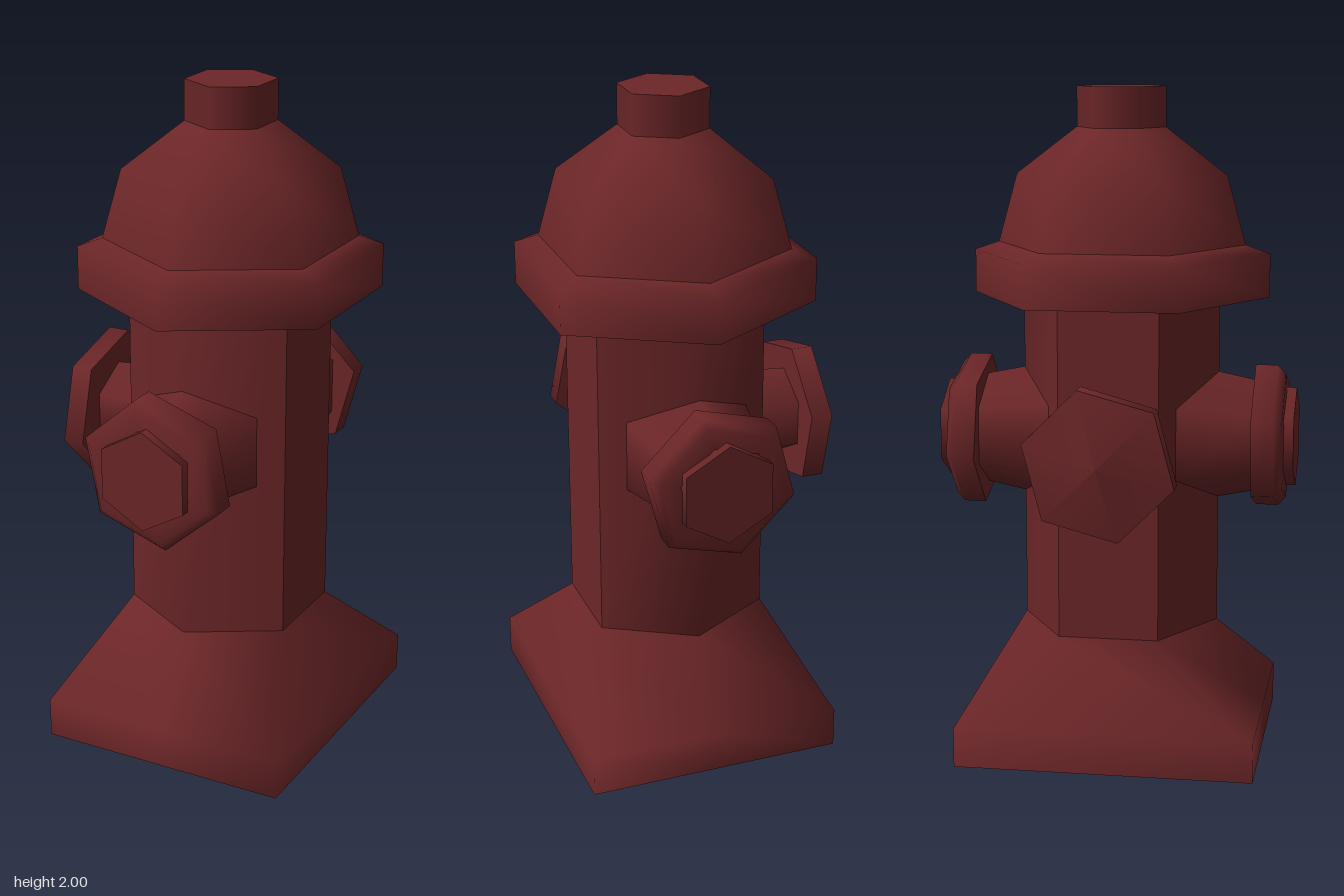
import * as THREE from 'three';
import { mergeVertices } from 'three/addons/utils/BufferGeometryUtils.js';

const paint = new THREE.MeshStandardMaterial({ color: 0x6c2628, side: THREE.DoubleSide });
paint.name = 'dark red paint';

// Six-sided turned shape from [radius, height] pairs, with a corner facing +z
const turned = (profile) =>
  new THREE.LatheGeometry(profile.map(([r, y]) => new THREE.Vector2(r, y)), 6);

function add(parent, name, geometry) {
  const mesh = new THREE.Mesh(geometry, paint);
  mesh.name = name;
  parent.add(mesh);
  return mesh;
}

// Lower rings are squared off into a rectangular foot, the top ring stays hexagonal
function baseGeometry() {
  let g = turned([[0.447, 0], [0.447, 0.12], [0.298, 0.38]]);
  const p = g.attributes.position;
  for (let i = 0; i < p.count; i++) {
    if (p.getY(i) < 0.2) p.setZ(i, Math.sign(p.getZ(i)) * 0.447);
  }
  g.deleteAttribute('uv');
  g.deleteAttribute('normal');
  g = mergeVertices(g, 1e-4);
  g.computeVertexNormals();
  return g;
}

// Outlet pointing along +z: each part is [name, profile, spin around the axis]
function outlet(name, parts) {
  const group = new THREE.Group();
  group.name = name;
  for (const [part, profile, spin = 0] of parts) {
    const g = turned(profile);
    g.rotateY(spin);
    g.rotateX(Math.PI / 2);
    add(group, part, g);
  }
  return group;
}

const hoseOutlet = (name, spin) => outlet(name, [
  ['outletNeck', [[0.215, 0.19], [0.168, 0.42]]],
  ['outletFlangeBack', [[0.15, 0.412], [0.228, 0.412]], spin],
  ['outletFlange', [[0.228, 0.412], [0.228, 0.478], [0.2, 0.502], [0.14, 0.504]], spin],
  ['outletNut', [[0.15, 0.49], [0.15, 0.533]]],
  ['outletNutFace', [[0.15, 0.533], [0, 0.533]]],
]);

export function createModel() {
  const model = new THREE.Group();
  model.name = 'hydrant';
  const body = new THREE.Group();
  body.name = 'body';
  body.position.x = 0.053;
  model.add(body);

  add(body, 'base', baseGeometry());

  // Column: softened front and back corners, flat left and right sides
  const deg = Math.PI / 180;
  for (const [name, start, length, sides] of [
    ['columnFront', -60, 120, 2], ['columnLeft', 60, 60, 1],
    ['columnBack', 120, 120, 2], ['columnRight', 240, 60, 1],
  ]) {
    const g = new THREE.CylinderGeometry(0.298, 0.298, 1, sides, 1, true, start * deg, length * deg);
    g.computeVertexNormals();
    add(body, name, g).position.y = 0.88;
  }

  // Bonnet
  add(body, 'bonnetUnderside', turned([[0.29, 1.38], [0.447, 1.38]]).scale(1, 1, 1));
  add(body, 'bonnetRim', turned([[0.447, 1.38], [0.447, 1.51], [0.374, 1.535]]));
  add(body, 'bonnetDome', turned([[0.374, 1.535], [0.317, 1.74], [0.134, 1.88]]));
  add(body, 'topNut', turned([[0.134, 1.875], [0.134, 2]]));
  add(body, 'topNutFace', turned([[0.134, 2], [0, 2]]));

  // Hose outlets front and back
  const front = hoseOutlet('frontOutlet', 11 * deg);
  front.position.y = 0.96;
  const back = hoseOutlet('backOutlet', 15 * deg);
  back.position.y = 0.96;
  back.rotation.y = Math.PI;
  body.add(front, back);

  // Pointed cap on the right side
  const side = outlet('sideOutlet', [
    ['sideNeck', [[0.148, 0.24], [0.135, 0.4]]],
    ['sideCapBack', [[0.1, 0.388], [0.228, 0.388]], 15 * deg],
    ['sideCapRim', [[0.228, 0.388], [0.228, 0.453]], 15 * deg],
    ['sideCapPoint', [[0.228, 0.453], [0, 0.498]], 15 * deg],
  ]);
  side.position.y = 0.945;
  side.rotation.y = -Math.PI / 2;
  body.add(side);

  return model;
}
